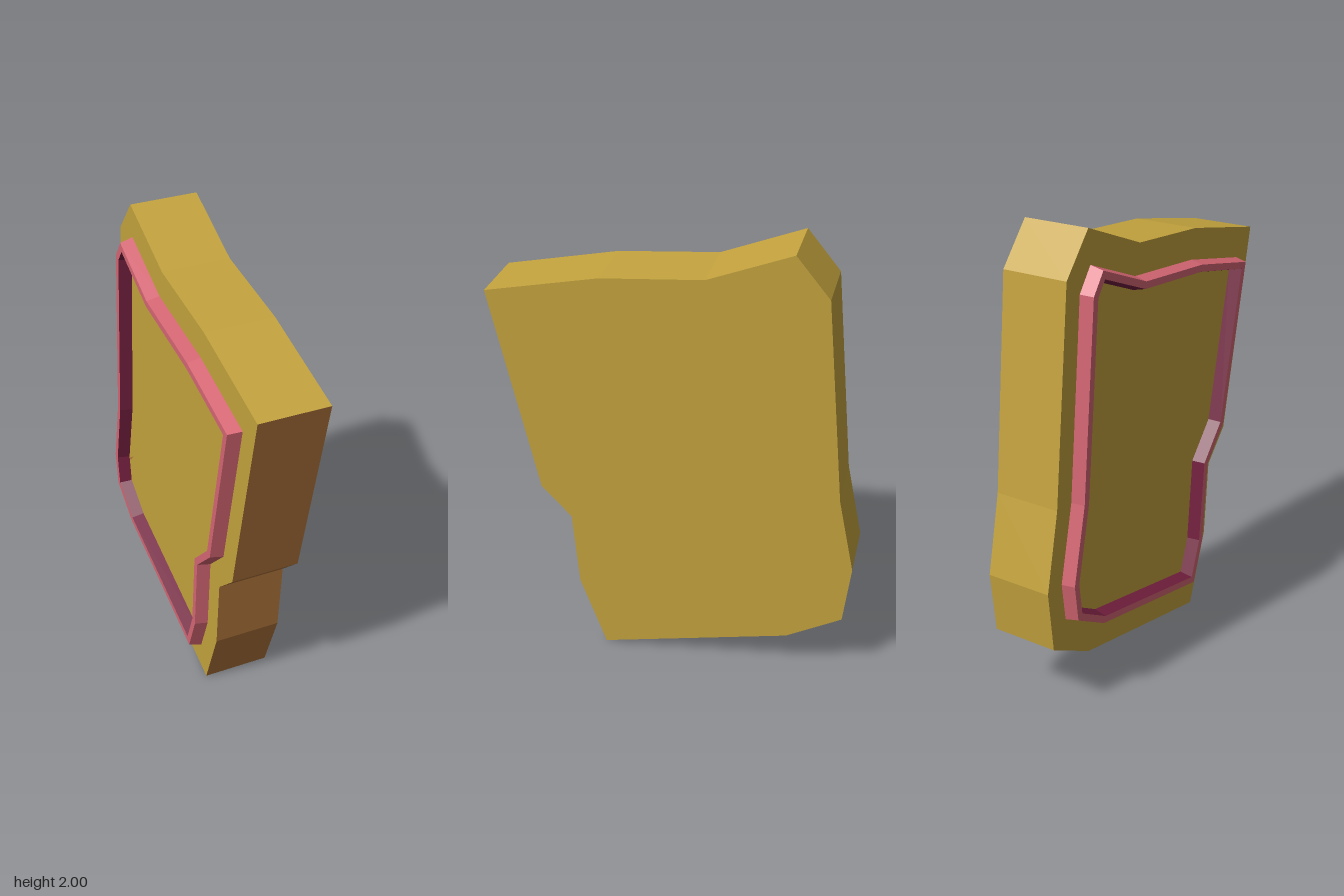
import * as THREE from 'three';

const YAW = 0.31, DEPTH = 0.294, RIM = 0.056;

const material = (name, color, extra = {}) => {
  const m = new THREE.MeshStandardMaterial({ color, ...extra });
  m.name = name;
  return m;
};

// Outlines, counter-clockwise from the front; x is stretched to undo the yaw foreshortening
const unYaw = (pts) => pts.map(([x, y]) => new THREE.Vector2(x / Math.cos(YAW), y));
const slabOutline = unYaw([
  [-0.505, 2], [-0.64, 1.83], [-0.727, 0.93], [-0.797, 0.59], [-0.77, 0.32], [-0.54, 0.185],
  [0.26, 0], [0.37, 0.33], [0.395, 0.675], [0.52, 0.815], [0.705, 1.73], [0.24, 1.83], [-0.17, 1.865],
]);
const rimOutline = unYaw([
  [-0.495, 1.857], [-0.563, 1.76], [-0.638, 0.926], [-0.71, 0.593], [-0.69, 0.423], [-0.511, 0.312],
  [0.204, 0.148], [0.275, 0.354], [0.304, 0.725], [0.433, 0.878], [0.588, 1.617], [0.209, 1.7], [-0.204, 1.737],
]);

// Mitred inward offset of an outline, placed at depth z
function ring(pts, inset, z) {
  const n = pts.length;
  return pts.map((p, i) => {
    const a = p.clone().sub(pts[(i + n - 1) % n]).normalize();
    const b = pts[(i + 1) % n].clone().sub(p).normalize();
    const na = new THREE.Vector2(-a.y, a.x), nb = new THREE.Vector2(-b.y, b.x);
    const miter = na.clone().add(nb).multiplyScalar(inset / (1 + na.dot(nb)));
    return new THREE.Vector3(p.x + miter.x, p.y + miter.y, z);
  });
}

// Flat-faced strip between two rings, over the chosen edges
function strip(name, a, b, mat, edge = () => true) {
  const pts = [];
  a.forEach((_, i) => {
    if (!edge(i)) return;
    const j = (i + 1) % a.length;
    pts.push(a[i], a[j], b[j], a[i], b[j], b[i]);
  });
  const geo = new THREE.BufferGeometry().setFromPoints(pts);
  geo.computeVertexNormals();
  return named(name, geo, mat);
}

function named(name, geo, mat) {
  const mesh = new THREE.Mesh(geo, mat);
  mesh.name = name;
  return mesh;
}

export function createModel() {
  const gold = material('gold', 0xc4a33e);
  const brown = material('brown', 0xb0753b);
  const pink = material('pink', 0xd56673);
  const maroon = material('maroon', 0x752040);

  const model = new THREE.Group();
  model.name = 'slab';

  // Slab faces
  const front = new THREE.ShapeGeometry(new THREE.Shape(slabOutline));
  const mirrored = slabOutline.map((p) => new THREE.Vector2(-p.x, p.y));
  const back = new THREE.ShapeGeometry(new THREE.Shape(mirrored)).rotateY(Math.PI).translate(0, 0, -DEPTH);
  model.add(named('slabFront', front, gold), named('slabBack', back, gold));

  // Slab edge walls, brown along the left side
  const isLeft = (i) => i >= 6 && i <= 9;
  const rear = ring(slabOutline, 0, -DEPTH), fore = ring(slabOutline, 0, 0);
  model.add(strip('slabEdge', rear, fore, gold, (i) => !isLeft(i)));
  model.add(strip('slabLeftEdge', rear, fore, brown, isLeft));

  // Raised rim with tapered sides
  const outerBase = ring(rimOutline, 0, 0), outerTop = ring(rimOutline, 0.012, RIM);
  const innerTop = ring(rimOutline, 0.042, RIM), innerBase = ring(rimOutline, 0.055, 0);
  model.add(strip('rimOuterWall', outerBase, outerTop, pink));
  model.add(strip('rimFace', outerTop, innerTop, pink));
  model.add(strip('rimInnerWall', innerTop, innerBase, maroon));

  // Small brown fleck on the panel
  const fleck = new THREE.ShapeGeometry(new THREE.Shape(unYaw([[-0.66, 0.58], [-0.63, 0.59], [-0.59, 0.64]])));
  model.add(named('fleck', fleck.translate(0, 0, 0.003), brown));

  model.rotation.y = -YAW;
  model.position.z = 0.146;
  const root = new THREE.Group();
  root.name = 'framedSlab';
  root.add(model);
  return root;
}
